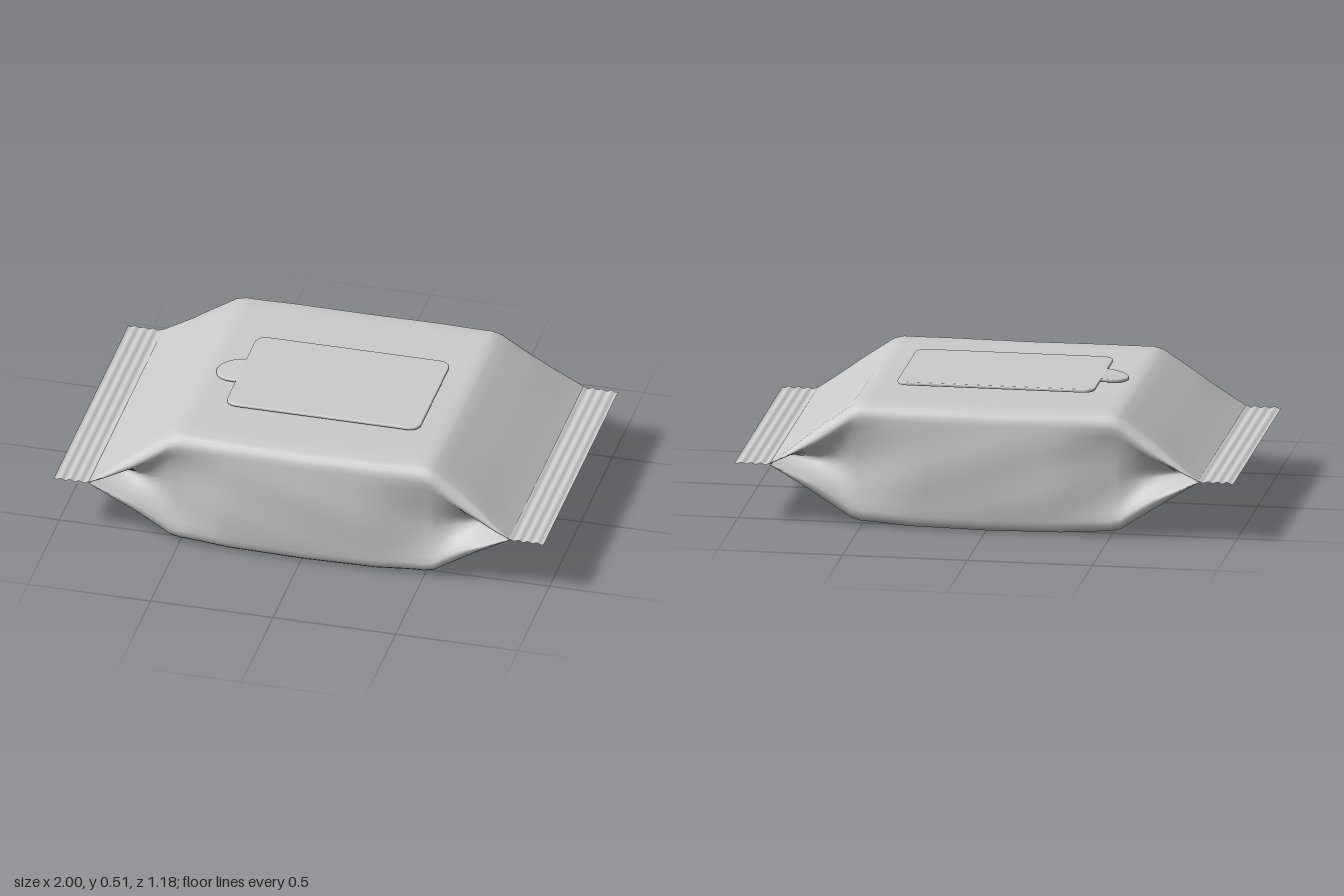
import * as THREE from 'three';

const MID = 0.25; // height of the sealed ends
const lerp = THREE.MathUtils.lerp;
const smooth = THREE.MathUtils.smoothstep;

// Piecewise linear lookup through [x, value] pairs
function along(table, x) {
  for (let i = 1; i < table.length; i++) {
    const [x0, v0] = table[i - 1], [x1, v1] = table[i];
    if (x <= x1) return lerp(v0, v1, (x - x0) / (x1 - x0));
  }
  return table[table.length - 1][1];
}

// Profiles by distance from the middle of the pack
const UPPER = [[0, 0.236], [0.3, 0.239], [0.5, 0.241], [0.54, 0.23], [0.68, 0.134], [0.8, 0.044], [0.86, 0.002]];
const LOWER = [[0, 0.249], [0.3, 0.245], [0.5, 0.233], [0.54, 0.222], [0.68, 0.127], [0.8, 0.042], [0.86, 0.002]];
const DEPTH = [[0, 0.572], [0.3, 0.57], [0.45, 0.562], [0.58, 0.566], [0.8, 0.59], [0.86, 0.592]];
const TUCK = [[0, -0.012], [0.28, -0.008], [0.42, 0.012], [0.55, 0.04], [0.68, 0.1], [0.78, 0.155], [0.86, 0.19]];

// One closed cross-section: top, front gusset, bottom, back gusset
function section(x) {
  const a = Math.abs(x);
  const up = along(UPPER, a), low = along(LOWER, a);
  const depth = along(DEPTH, a), tuck = along(TUCK, a);
  const r = Math.min(0.05, up * 0.35);
  const rz = Math.min(0.04, r);
  const fold = lerp(2, 1.15, smooth(a, 0.4, 0.8));
  const full = smooth(up, 0, 0.2);
  const half = []; // from the middle of the top, round the side, to the middle of the bottom
  for (let k = 0; k <= 8; k++) {
    const z = (depth - rz) * k / 8;
    half.push([z, up + 0.011 * full * Math.pow(k / 8, 2) * (k === 8 ? 0.6 : 1)]);
  }
  const wall = (t) => depth - tuck * (1 - Math.pow(Math.abs(t), fold))
    + 0.003 * full * Math.sin(9 * x + 4 * t) * (1 - t * t);
  for (let k = 1; k <= 3; k++) {
    const q = k / 4 * Math.PI / 2;
    half.push([depth - rz + rz * Math.sin(q), up - r + r * Math.cos(q)]);
  }
  for (let k = 0; k <= 12; k++) {
    const t = 1 - k / 6;
    half.push([wall(t), t > 0 ? t * (up - r) : t * (low - r)]);
  }
  for (let k = 3; k >= 1; k--) {
    const q = k / 4 * Math.PI / 2;
    half.push([depth - rz + rz * Math.sin(q), -(low - r + r * Math.cos(q))]);
  }
  for (let k = 8; k >= 0; k--) half.push([(depth - rz) * k / 8, -low + 0.004 * full * Math.pow(k / 8, 2)]);
  const back = half.slice(1, -1).reverse().map(([z, y]) => [-z, y]);
  return [...half, ...back].map(([z, y]) => [x, MID + y, z]);
}

// Loft the pouch through its cross-sections
function pouchGeometry() {
  const side = [0.08, 0.16, 0.23, 0.3, 0.36, 0.42, 0.47, 0.5, 0.52, 0.54, 0.58, 0.63, 0.68, 0.72, 0.76, 0.8, 0.83, 0.86];
  const stations = [...side.map(v => -v).reverse(), 0, ...side];
  const rings = stations.map(section);
  const n = rings[0].length;
  const index = [];
  for (let i = 0; i < rings.length - 1; i++) {
    for (let j = 0; j < n; j++) {
      const a = i * n + j, b = i * n + (j + 1) % n;
      index.push(a, b, a + n, b, b + n, a + n);
    }
  }
  const g = new THREE.BufferGeometry();
  g.setAttribute('position', new THREE.Float32BufferAttribute(rings.flat(2), 3));
  g.setIndex(index);
  g.computeVertexNormals();
  return g;
}

// Flat end strip with crimped ridges
function sealGeometry() {
  const g = new THREE.PlaneGeometry(0.15, 1.184, 32, 1).rotateX(-Math.PI / 2);
  const p = g.attributes.position;
  for (let i = 0; i < p.count; i++) {
    const t = (p.getX(i) + 0.075) / 0.15;
    p.setY(i, 0.0035 * Math.sin(t * Math.PI * 8));
  }
  g.computeVertexNormals();
  return g;
}

// Rounded label outline with a pull tab on the -x side (shape y is -z)
function labelShape() {
  const x0 = -0.375, x1 = 0.405, y0 = -0.28, y1 = 0.23, r = 0.045;
  const s = new THREE.Shape();
  s.moveTo(x0 + r, y0);
  s.lineTo(x1 - r, y0);
  s.quadraticCurveTo(x1, y0, x1, y0 + r);
  s.lineTo(x1, y1 - r);
  s.quadraticCurveTo(x1, y1, x1 - r, y1);
  s.lineTo(x0 + r, y1);
  s.quadraticCurveTo(x0, y1, x0, y1 - r);
  s.lineTo(x0, 0.065);
  s.quadraticCurveTo(x0, 0.05, x0 - 0.02, 0.05);
  s.bezierCurveTo(-0.5, 0.04, -0.5, -0.09, x0 - 0.02, -0.1);
  s.quadraticCurveTo(x0, -0.1, x0, -0.115);
  s.lineTo(x0, y0 + r);
  s.quadraticCurveTo(x0, y0, x0 + r, y0);
  return s;
}

function labelGeometry() {
  const g = new THREE.ExtrudeGeometry(labelShape(), {
    depth: 0.004, bevelThickness: 0.005, bevelSize: 0.006, bevelSegments: 3, curveSegments: 10,
  }).rotateX(-Math.PI / 2);
  // Let the tab droop slightly towards the pouch
  const p = g.attributes.position;
  for (let i = 0; i < p.count; i++) {
    const droop = Math.max(0, -0.38 - p.getX(i));
    p.setY(i, p.getY(i) + 0.504 - droop * 0.1);
  }
  g.computeVertexNormals();
  return g;
}

export function createModel() {
  const group = new THREE.Group();
  group.name = 'wipesPack';
  const grey = new THREE.MeshStandardMaterial({ color: 0xcccccc, side: THREE.DoubleSide });
  const add = (name, geometry) => {
    const mesh = new THREE.Mesh(geometry, grey);
    mesh.name = name;
    group.add(mesh);
    return mesh;
  };

  add('pouch', pouchGeometry());
  add('resealLabel', labelGeometry());

  // Crimped seals at both ends
  for (const [name, sign] of [['leftSeal', 1], ['rightSeal', -1]]) {
    const seal = add(name, sealGeometry());
    seal.position.set(sign * 0.925, MID, 0);
    if (sign < 0) seal.rotation.y = Math.PI;
  }
  return group;
}
